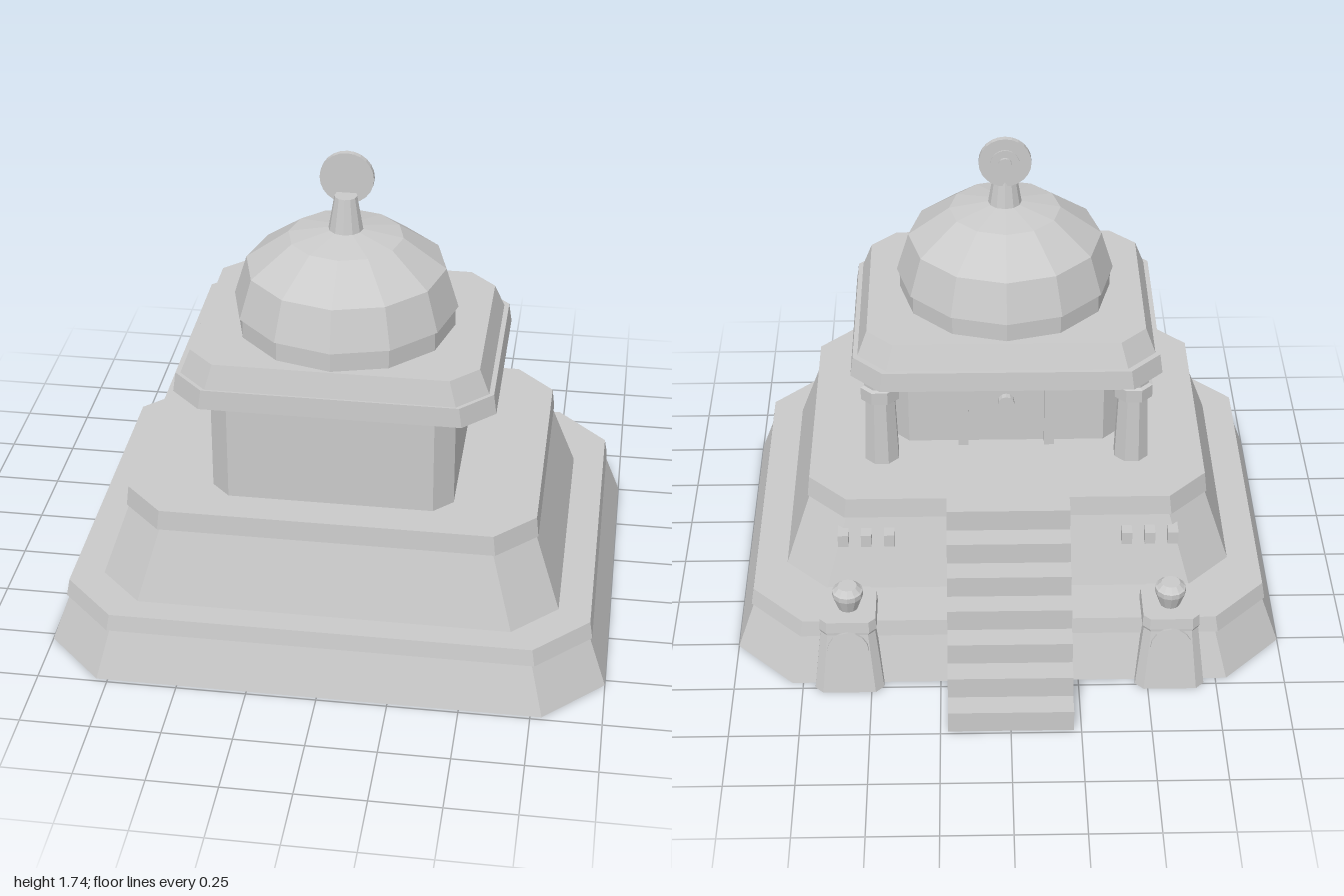
import * as THREE from 'three';

export function createModel() {
  const model = new THREE.Group();
  model.name = 'domedShrine';
  const stone = new THREE.MeshStandardMaterial({
    color: 0xcacaca, flatShading: true, side: THREE.DoubleSide,
  });
  stone.name = 'grey stone';

  const add = (name, geometry, x = 0, y = 0, z = 0, parent = model) => {
    const mesh = new THREE.Mesh(geometry, stone);
    mesh.name = name;
    mesh.position.set(x, y, z);
    parent.add(mesh);
    return mesh;
  };

  // Loft through corner-cut rectangles: [y, halfWidth, zBack, zFront, cornerCut]
  const loft = (levels, { top = true, bottom = true } = {}) => {
    const rings = levels.map(([y, w, b, f, c]) => [
      [w, f - c], [w, b + c], [w - c, b], [c - w, b],
      [-w, b + c], [-w, f - c], [c - w, f], [w - c, f],
    ].map(([x, z]) => [x, y, z]));
    const pos = [];
    const tri = (...pts) => pts.forEach((p) => pos.push(...p));
    for (let k = 0; k + 1 < rings.length; k++) {
      for (let i = 0; i < 8; i++) {
        const j = (i + 1) % 8, lo = rings[k], hi = rings[k + 1];
        tri(lo[i], lo[j], hi[j]);
        tri(lo[i], hi[j], hi[i]);
      }
    }
    const first = rings[0], last = rings[rings.length - 1];
    for (let i = 1; i < 7; i++) {
      if (top) tri(last[0], last[i], last[i + 1]);
      if (bottom) tri(first[0], first[i + 1], first[i]);
    }
    const g = new THREE.BufferGeometry();
    g.setAttribute('position', new THREE.Float32BufferAttribute(pos, 3));
    g.computeVertexNormals();
    return g;
  };
  const lathe = (points, sides) =>
    new THREE.LatheGeometry(points.map(([r, y]) => new THREE.Vector2(r, y)), sides);
  // Box without its underside
  const openBox = (w, h, d) => {
    const g = new THREE.BoxGeometry(w, h, d);
    const index = Array.from(g.index.array);
    index.splice(18, 6);
    g.setIndex(index);
    g.clearGroups();
    return g;
  };

  // Stepped base: open sloping walls, each under a solid overhanging rim
  const open = { top: false, bottom: false };
  add('lowerTier', loft([[0, 1, -0.72, 0.987, 0.21], [0.182, 0.935, -0.665, 0.932, 0.19]], open));
  add('lowerRim', loft([[0.182, 0.945, -0.675, 0.942, 0.19], [0.243, 0.935, -0.665, 0.932, 0.19]]));
  add('upperTier', loft([[0.243, 0.82, -0.476, 0.838, 0.157], [0.512, 0.727, -0.395, 0.762, 0.14]], open));
  add('upperRim', loft([[0.512, 0.735, -0.405, 0.772, 0.14], [0.587, 0.727, -0.395, 0.767, 0.14]]));

  // Chamber and roof slab
  add('chamber', loft([[0.585, 0.43, -0.03, 0.637, 0.067], [0.95, 0.43, -0.03, 0.637, 0.067]]));
  add('roofSlab', loft([
    [0.947, 0.567, -0.238, 0.656, 0.11], [1.02, 0.557, -0.23, 0.652, 0.11],
    [1.02, 0.54, -0.213, 0.645, 0.105], [1.11, 0.505, -0.18, 0.625, 0.095],
  ]));

  // Twelve-sided drum, dome and spire
  const axisZ = 0.228;
  add('domeDrum', new THREE.CylinderGeometry(0.39, 0.39, 0.09, 12), 0, 1.145, axisZ);
  add('dome', lathe([
    [0, 1.184], [0.4, 1.184], [0.355, 1.33], [0.203, 1.44], [0.05, 1.468], [0, 1.468],
  ], 12), 0, 0, axisZ);
  add('spire', new THREE.CylinderGeometry(0.04, 0.062, 0.13, 12), 0, 1.526, axisZ);

  // Round finial plate with stepped discs on its back
  const finial = new THREE.Group();
  finial.name = 'finial';
  finial.position.set(0, 1.645, 0.195);
  model.add(finial);
  [
    ['finialPlate', 0.095, 0.022, 0],
    ['finialDisc', 0.052, 0.02, -0.006],
    ['finialBoss', 0.024, 0.02, -0.016],
  ].forEach(([name, r, h, z]) => {
    add(name, new THREE.CylinderGeometry(r, r, h, 24).rotateX(Math.PI / 2), 0, 0, z, finial);
  });

  // Rear stairway of hollow blocks
  const stepCount = 7, run = 0.0843;
  for (let i = 0; i < stepCount; i++) {
    const h = 0.591 * (stepCount - i) / stepCount;
    add('stair' + (i + 1), openBox(0.446, h, run), 0, h / 2, -0.398 - (i + 0.5) * run);
  }

  // Round emblem on the rear wall
  add('doorEmblem', new THREE.CylinderGeometry(0.03, 0.03, 0.03, 12).rotateX(Math.PI / 2), 0, 0.765, -0.04);

  const column = lathe([
    [0, 0.585], [0.067, 0.585], [0.057, 0.85], [0.075, 0.855], [0.075, 0.905],
    [0.06, 0.91], [0.06, 0.93], [0.076, 0.935], [0.076, 0.95], [0, 0.95],
  ], 8).rotateY(Math.PI / 8);
  const urn = lathe([
    [0, 0.285], [0.036, 0.285], [0.056, 0.342], [0.056, 0.362], [0.05, 0.366],
    [0.034, 0.382], [0, 0.382],
  ], 12);
  const pedestal = loft([
    [0, 0.125, -0.775, -0.5, 0.03], [0.235, 0.098, -0.735, -0.52, 0.025],
    [0.245, 0.103, -0.735, -0.522, 0.025], [0.287, 0.1, -0.73, -0.525, 0.025],
  ], { bottom: false });

  for (const s of [1, -1]) {
    const side = s > 0 ? 'left' : 'right';
    add(side + 'DoorPost', new THREE.BoxGeometry(0.038, 0.295, 0.04), s * 0.16, 0.7325, -0.044);
    add(side + 'Column', column, s * 0.462, 0, -0.116);
    add(side + 'Pedestal', pedestal, s * 0.58, 0, 0);
    add(side + 'Urn', urn, s * 0.58, 0, -0.635);
    // Medallion on the sloping rear face of the pedestal
    const medal = add(side + 'Medallion',
      new THREE.CylinderGeometry(0.075, 0.075, 0.016, 16).rotateX(Math.PI / 2), s * 0.58, 0.175, -0.748);
    medal.rotation.x = 0.17;
    // Row of small brackets on the upper slope
    for (const x of [0.432, 0.516, 0.6]) {
      add(side + 'Bracket', new THREE.BoxGeometry(0.038, 0.05, 0.08), s * x, 0.442, -0.417);
    }
  }
  return model;
}
